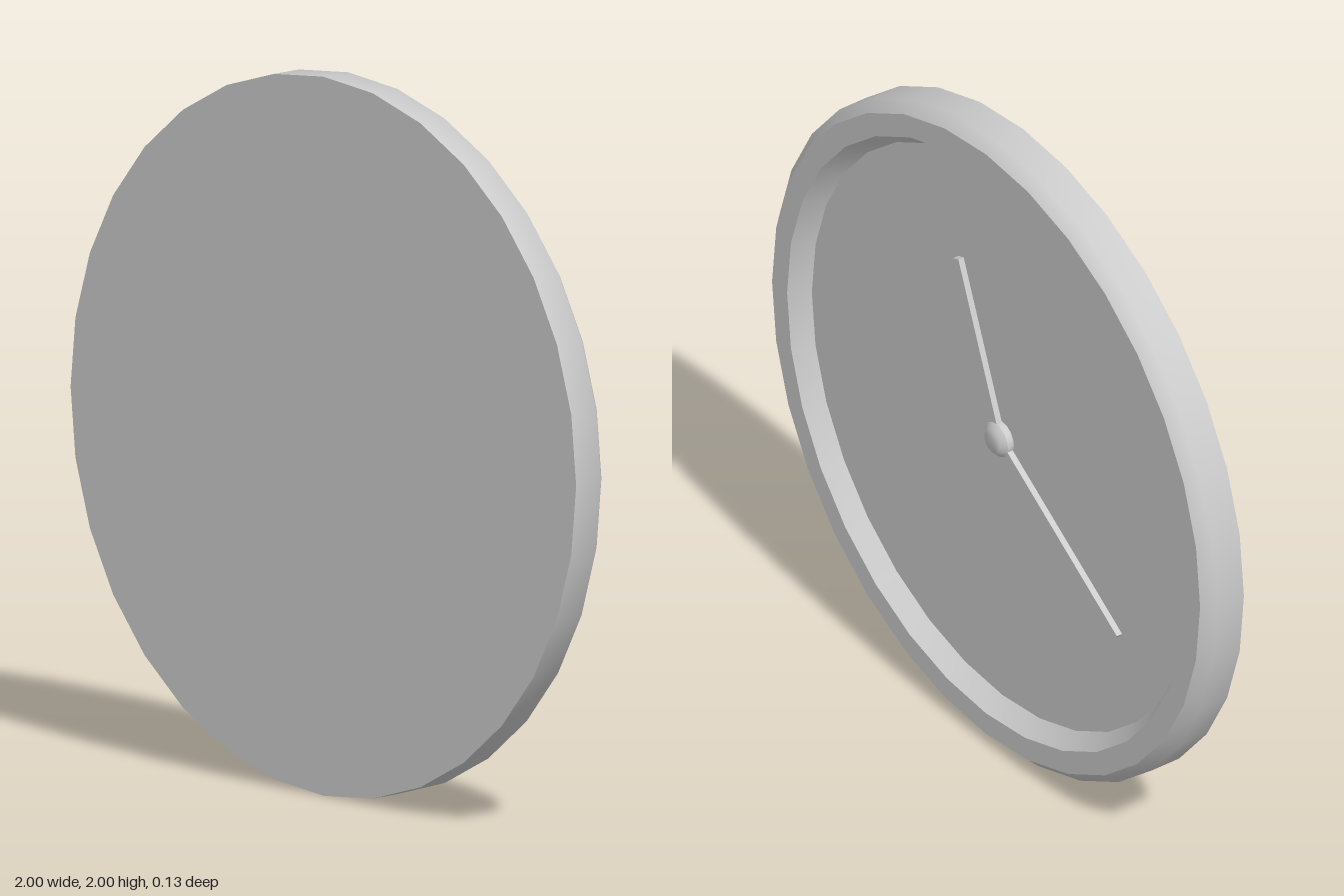
import * as THREE from 'three';
import { toCreasedNormals } from 'three/addons/utils/BufferGeometryUtils.js';

const material = new THREE.MeshStandardMaterial({ color: 0xcccccc });

// Turned part about the z axis; profile is [radius, height toward -z]
function turned(name, profile, segments) {
  const points = profile.map(([r, h]) => new THREE.Vector2(r, h));
  const geometry = new THREE.LatheGeometry(points, segments).rotateX(-Math.PI / 2);
  const mesh = new THREE.Mesh(toCreasedNormals(geometry, 0.8), material);
  mesh.name = name;
  return mesh;
}

// Tapered bar from the centre to the tip (x, y)
function hand(name, x, y, baseWidth, tipWidth, zBack, depth) {
  const length = Math.hypot(x, y);
  const shape = new THREE.Shape([
    new THREE.Vector2(-baseWidth / 2, 0),
    new THREE.Vector2(baseWidth / 2, 0),
    new THREE.Vector2(tipWidth / 2, length),
    new THREE.Vector2(-tipWidth / 2, length),
  ]);
  const geometry = new THREE.ExtrudeGeometry(shape, { depth, bevelEnabled: false });
  const mesh = new THREE.Mesh(geometry, material);
  mesh.name = name;
  mesh.position.z = zBack - depth;
  mesh.rotation.z = Math.atan2(-x, y);
  return mesh;
}

export function createModel() {
  const clock = new THREE.Group();
  clock.name = 'wallClock';
  clock.position.y = 1;

  // Flat back, chamfered outer wall, flat rim and sloped inner wall
  clock.add(turned('case', [
    [0, -0.063], [1, -0.063], [1, 0.03], [0.968, 0.063], [0.9, 0.063], [0.862, 0.007],
  ], 32));

  // Recessed dial
  clock.add(turned('dial', [[0.862, 0.007], [0, 0.007]], 32));

  // Hands and centre cap on the dial side
  clock.add(hand('hourHand', 0.185, 0.5, 0.036, 0.026, -0.009, 0.018));
  clock.add(hand('minuteHand', -0.54, -0.358, 0.028, 0.015, -0.009, 0.018));
  clock.add(turned('centreCap', [[0.052, 0.006], [0.052, 0.027], [0.036, 0.042], [0, 0.042]], 16));

  const model = new THREE.Group();
  model.add(clock);
  return model;
}
